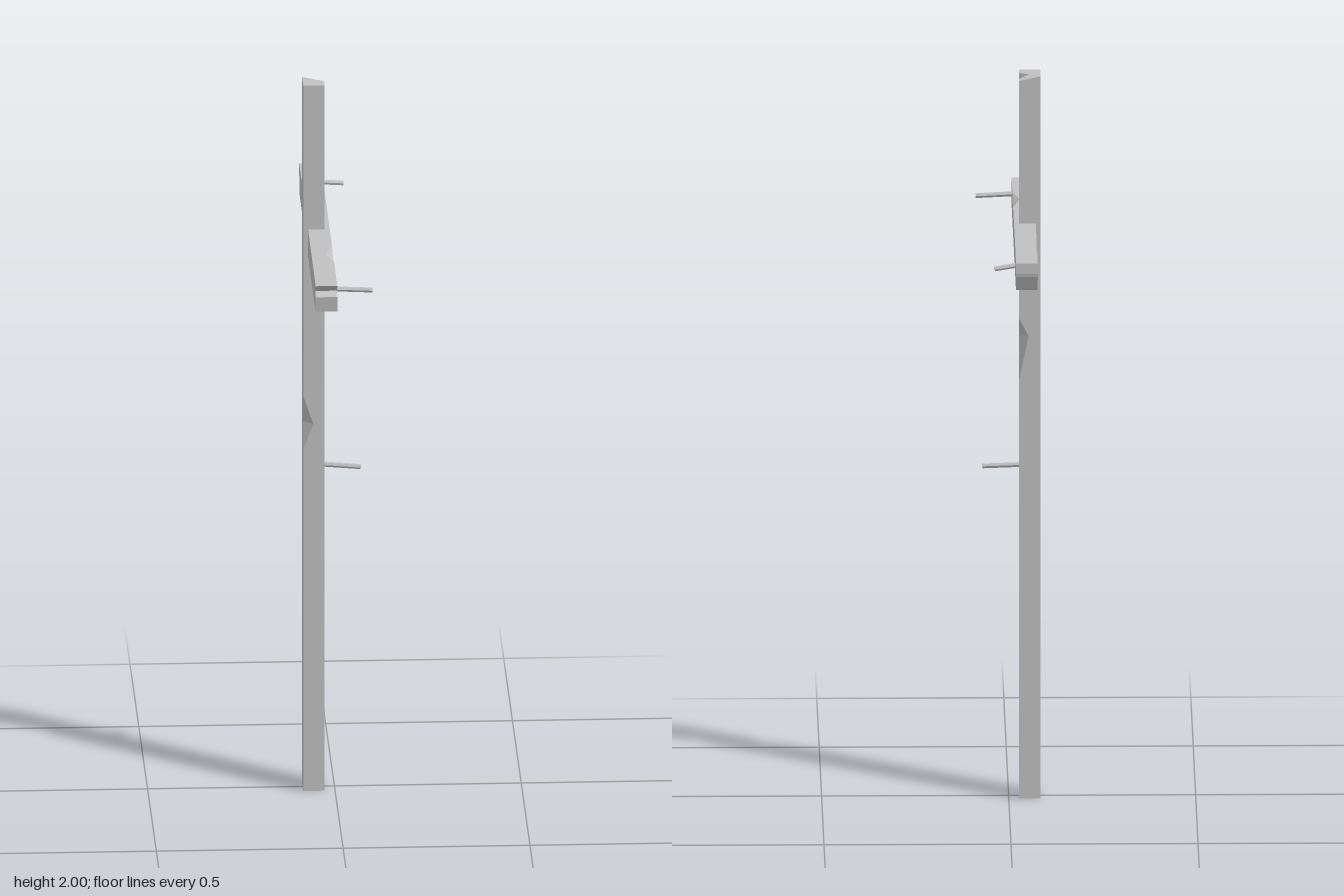
import * as THREE from 'three';

// Skin a list of rings (counter-clockwise seen from the last one) and close both ends.
function loft(rings, capFaces, material, name) {
  const pos = [];
  const tri = (a, b, c) => pos.push(...a, ...b, ...c);
  const n = rings[0].length;
  for (let s = 0; s < rings.length - 1; s++) {
    const a = rings[s], b = rings[s + 1];
    for (let i = 0; i < n; i++) {
      const j = (i + 1) % n;
      tri(a[i], a[j], b[j]);
      tri(a[i], b[j], b[i]);
    }
  }
  const first = rings[0], last = rings[rings.length - 1];
  for (const [i, j, k] of capFaces(n)) {
    tri(last[i], last[j], last[k]);
    tri(first[k], first[j], first[i]);
  }
  const g = new THREE.BufferGeometry();
  g.setAttribute('position', new THREE.Float32BufferAttribute(pos, 3));
  g.computeVertexNormals();
  const mesh = new THREE.Mesh(g, material);
  mesh.name = name;
  return mesh;
}

// End caps: a fan from the first point, or a strip between the two sides.
const fanCap = (n) => Array.from({ length: n - 2 }, (_, i) => [0, i + 1, i + 2]);
const stripCap = (n) => {
  const faces = [];
  for (let i = 0; i < n / 2 - 1; i++) {
    faces.push([i, i + 1, n - 2 - i], [i, n - 2 - i, n - 1 - i]);
  }
  return faces;
};

// Post section at height y, with chips on the front-left-hand and rear corners.
function postRing(y, frontChip = 0, backChip = 0, splitZ = 0) {
  const x0 = -0.085, x1 = -0.028, z0 = -0.033, z1 = 0.037;
  return [
    [x0, y, z0],
    [x0, y, z1 - frontChip], [x0 + frontChip, y, z1],
    [x1, y, z1],
    [x1, y, splitZ], [x1, y, splitZ], [x1, y, splitZ],
    [x1, y, z0 + backChip], [x1 - backChip, y, z0],
  ];
}

// Beam section at z, with chips [across, down] on the two top edges.
function beamRing(z, right = [0, 0], left = [0, 0]) {
  const x0 = -0.072, x1 = -0.014;
  const top = 1.592 - 0.017 * z, bottom = 1.514 - 0.011 * z;
  const lip = bottom + 0.043, split = bottom + 0.052;
  return [
    [x1, bottom, z], [x1, lip, z], [x1, split, z],
    [x1, top - right[1], z], [x1 - right[0], top, z],
    [x0 + left[0], top, z], [x0, top - left[1], z],
    [x0, split, z], [x0, lip, z], [x0, bottom, z],
  ];
}

export function createModel() {
  const group = new THREE.Group();
  group.name = 'woodenCross';
  const wood = new THREE.MeshStandardMaterial({ color: 0xc0c0c0 });
  wood.name = 'pale grey';

  // Upright post with a splintered top
  const postTop = postRing(2);
  postTop[4][2] = 0.003;
  postTop[5] = [-0.055, 2, -0.013];
  postTop[6] = [-0.028, 1.99, -0.022];
  postTop[7][1] = postTop[8][1] = 1.987;
  const post = [
    postRing(0), postRing(0.97), postRing(1.04, 0.027), postRing(1.12),
    postRing(1.16), postRing(1.28, 0, 0.025), postRing(1.33),
    postRing(1.935, 0, 0, -0.01), postTop,
  ];
  group.add(loft(post, fanCap, wood, 'post'));

  // Crossbeam: slanted rear end, split front end
  const rearZ = [-0.445, -0.468, -0.47, -0.47, -0.47];
  const frontZ = [0.462, 0.468, 0.442, 0.47, 0.47];
  const shapeEnd = (ring, zs) => ring.forEach((p, i) => { p[2] = zs[Math.min(i, 9 - i)]; });
  const rear = beamRing(-0.47), front = beamRing(0.47);
  shapeEnd(rear, rearZ);
  shapeEnd(front, frontZ);
  const beam = [
    rear, beamRing(-0.35), beamRing(-0.25, [0, 0], [0.014, 0.025]), beamRing(-0.155),
    beamRing(0.15), beamRing(0.235, [0.019, 0.014]), beamRing(0.3), front,
  ];
  group.add(loft(beam, stripCap, wood, 'crossbeam'));

  // Nails, each from a point inside the wood to its tip
  const nails = [
    [[-0.04, 1.577, -0.388], [0.042, 1.567, -0.402]],
    [[-0.04, 1.556, 0.411], [0.083, 1.55, 0.411]],
    [[-0.05, 0.916, 0.003], [0.07, 0.909, 0.013]],
  ];
  nails.forEach(([from, to], i) => {
    const a = new THREE.Vector3(...from), b = new THREE.Vector3(...to);
    const dir = b.clone().sub(a);
    const geo = new THREE.CylinderGeometry(0.0068, 0.0068, dir.length(), 6).toNonIndexed();
    geo.computeVertexNormals();
    const nail = new THREE.Mesh(geo, wood);
    nail.name = `nail${i + 1}`;
    nail.position.copy(a).add(b).multiplyScalar(0.5);
    nail.quaternion.setFromUnitVectors(new THREE.Vector3(0, 1, 0), dir.normalize());
    group.add(nail);
  });

  return group;
}
